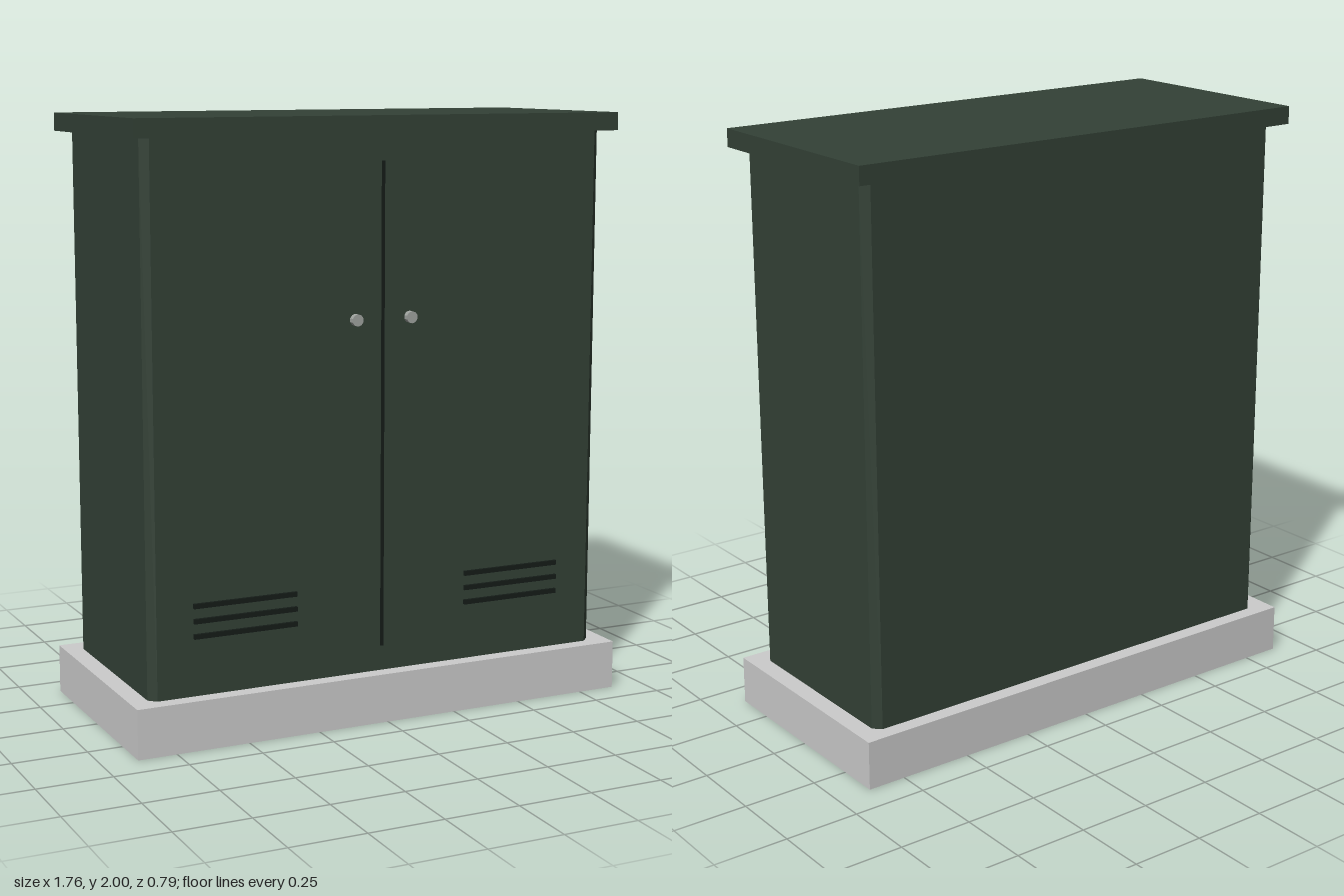
import * as THREE from 'three';

const paint = (color) => new THREE.MeshStandardMaterial({ color, flatShading: true });

export function createModel() {
  const model = new THREE.Group();
  model.name = 'utilityCabinet';
  const green = paint(0x334136);
  const dark = paint(0x151c18);
  const metal = paint(0xa0a4a0);
  const concrete = paint(0xcccccc);

  const add = (name, geometry, material, x, y, z, parent = model) => {
    const mesh = new THREE.Mesh(geometry, material);
    mesh.name = name;
    mesh.position.set(x, y, z);
    parent.add(mesh);
    return mesh;
  };
  const box = (w, h, d) => new THREE.BoxGeometry(w, h, d);

  // Concrete plinth and overhanging roof
  add('plinth', box(1.764, 0.165, 0.79), concrete, 0, 0.0825, 0);
  add('roof', box(1.72, 0.06, 0.77), green, 0, 1.97, 0);

  // Body: rectangle with chamfered vertical corners, extruded upward
  const W = 0.82, D = 0.343, C = 0.025;
  const outline = new THREE.Shape([
    [W - C, -D], [W, -D + C], [W, D - C], [W - C, D],
    [-W + C, D], [-W, D - C], [-W, -D + C], [-W + C, -D],
  ].map(([x, y]) => new THREE.Vector2(x, y)));
  const bodyGeometry = new THREE.ExtrudeGeometry(outline, { depth: 1.775, bevelEnabled: false });
  bodyGeometry.rotateX(-Math.PI / 2);
  add('body', bodyGeometry, green, 0, 0.165, 0);

  // Dark line between the two doors
  add('doorSeam', box(0.01, 1.605, 0.01), dark, 0, 1.0525, 0.343);

  // Knob and three vent slots on each door
  const knobGeometry = new THREE.CylinderGeometry(0.02, 0.02, 0.03, 10).rotateX(Math.PI / 2);
  for (const [side, s] of [['left', 1], ['right', -1]]) {
    add(side + 'Knob', knobGeometry, metal, s * 0.098, 1.347, 0.348);
    const vent = new THREE.Group();
    vent.name = side + 'Vent';
    model.add(vent);
    for (let i = 0; i < 3; i++) {
      add('ventSlot', box(0.36, 0.016, 0.018), dark, s * 0.49, 0.363 + i * 0.05, 0.344, vent);
    }
  }
  return model;
}
